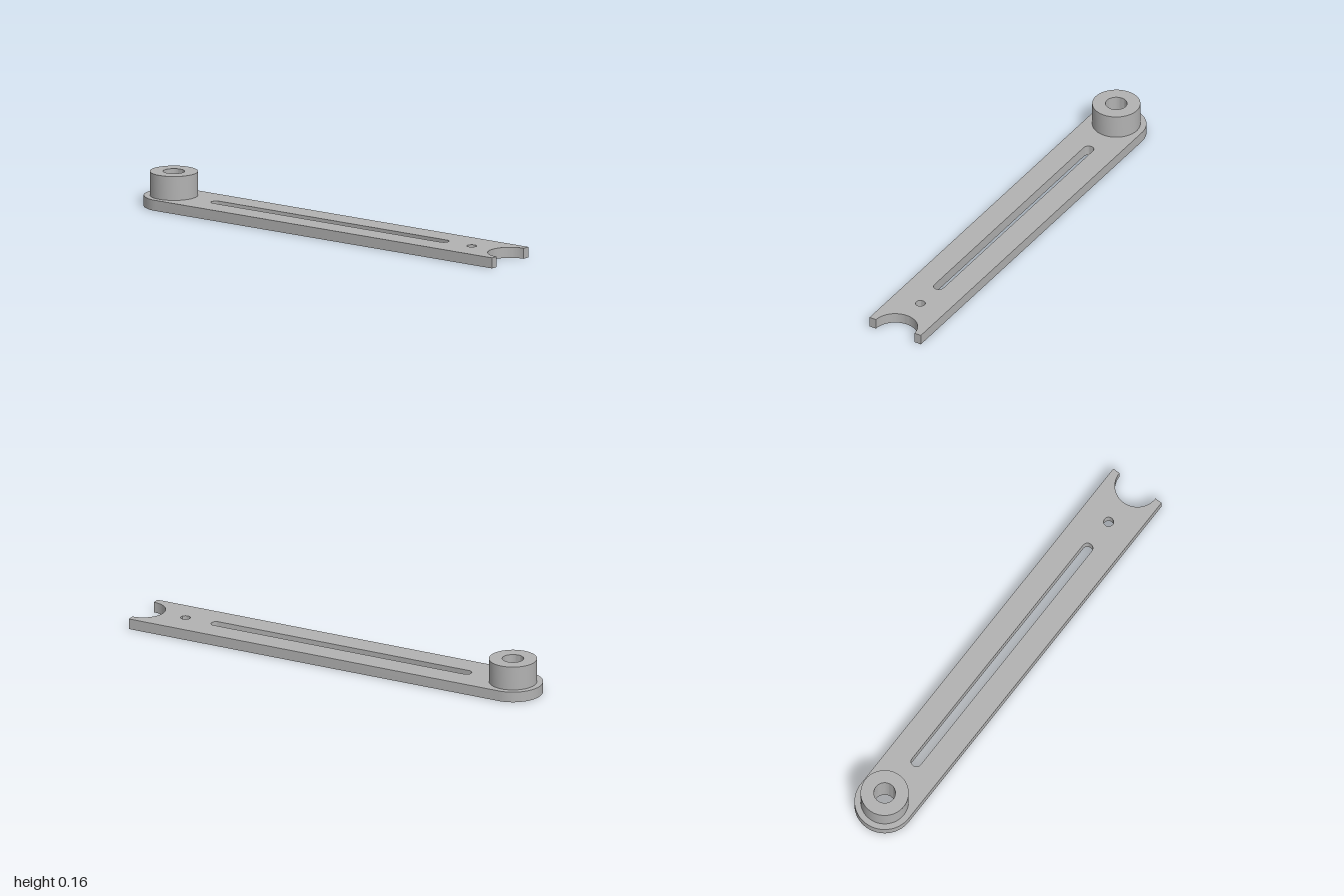
import * as THREE from 'three';
import { toCreasedNormals } from 'three/addons/utils/BufferGeometryUtils.js';

const HALF_WIDTH = 0.134;
const THICKNESS = 0.048;
const BOSS_TOP = 0.157;
const PIVOT = 1 - HALF_WIDTH; // distance of the pivot from the centre
const BORE = 0.048;

function circleHole(x, y, r) {
  const path = new THREE.Path();
  path.absarc(x, y, r, 0, Math.PI * 2, true);
  return path;
}

// Flat arm, drawn with shape y pointing to the back
function armGeometry() {
  const shape = new THREE.Shape();
  shape.moveTo(0.1, -1);
  shape.lineTo(HALF_WIDTH, -1);
  shape.lineTo(HALF_WIDTH, PIVOT);
  shape.absarc(0, PIVOT, HALF_WIDTH, 0, Math.PI, false); // rounded back end
  shape.lineTo(-HALF_WIDTH, -1);
  shape.lineTo(-0.1, -1);
  shape.absarc(0, -1, 0.1, Math.PI, 0, true); // half-round notch in front

  // Long slot with round ends
  const slotR = 0.024, slotEnd = 0.655 - slotR;
  const slot = new THREE.Path();
  slot.moveTo(slotR, -slotEnd);
  slot.lineTo(slotR, slotEnd);
  slot.absarc(0, slotEnd, slotR, 0, Math.PI, false);
  slot.lineTo(-slotR, -slotEnd);
  slot.absarc(0, -slotEnd, slotR, Math.PI, Math.PI * 2, false);

  shape.holes.push(slot, circleHole(0, -0.787, 0.022), circleHole(0, PIVOT, BORE));

  const geometry = new THREE.ExtrudeGeometry(shape, {
    depth: THICKNESS, bevelEnabled: false, curveSegments: 32,
  });
  geometry.rotateX(-Math.PI / 2);
  return toCreasedNormals(geometry, 0.6);
}

// Raised collar around the bore, open underneath where it meets the arm
function bossGeometry() {
  const profile = [
    [0.107, THICKNESS], [0.107, BOSS_TOP], [BORE, BOSS_TOP], [BORE, THICKNESS],
  ].map(([r, y]) => new THREE.Vector2(r, y));
  return toCreasedNormals(new THREE.LatheGeometry(profile, 64), 0.6);
}

export function createModel() {
  const grey = new THREE.MeshStandardMaterial({ color: 0xb2b2b2 });
  grey.name = 'grey';

  const model = new THREE.Group();
  model.name = 'slottedArm';

  const arm = new THREE.Mesh(armGeometry(), grey);
  arm.name = 'armPlate';

  const boss = new THREE.Mesh(bossGeometry(), grey);
  boss.name = 'pivotBoss';
  boss.position.z = -PIVOT;

  model.add(arm, boss);
  return model;
}
